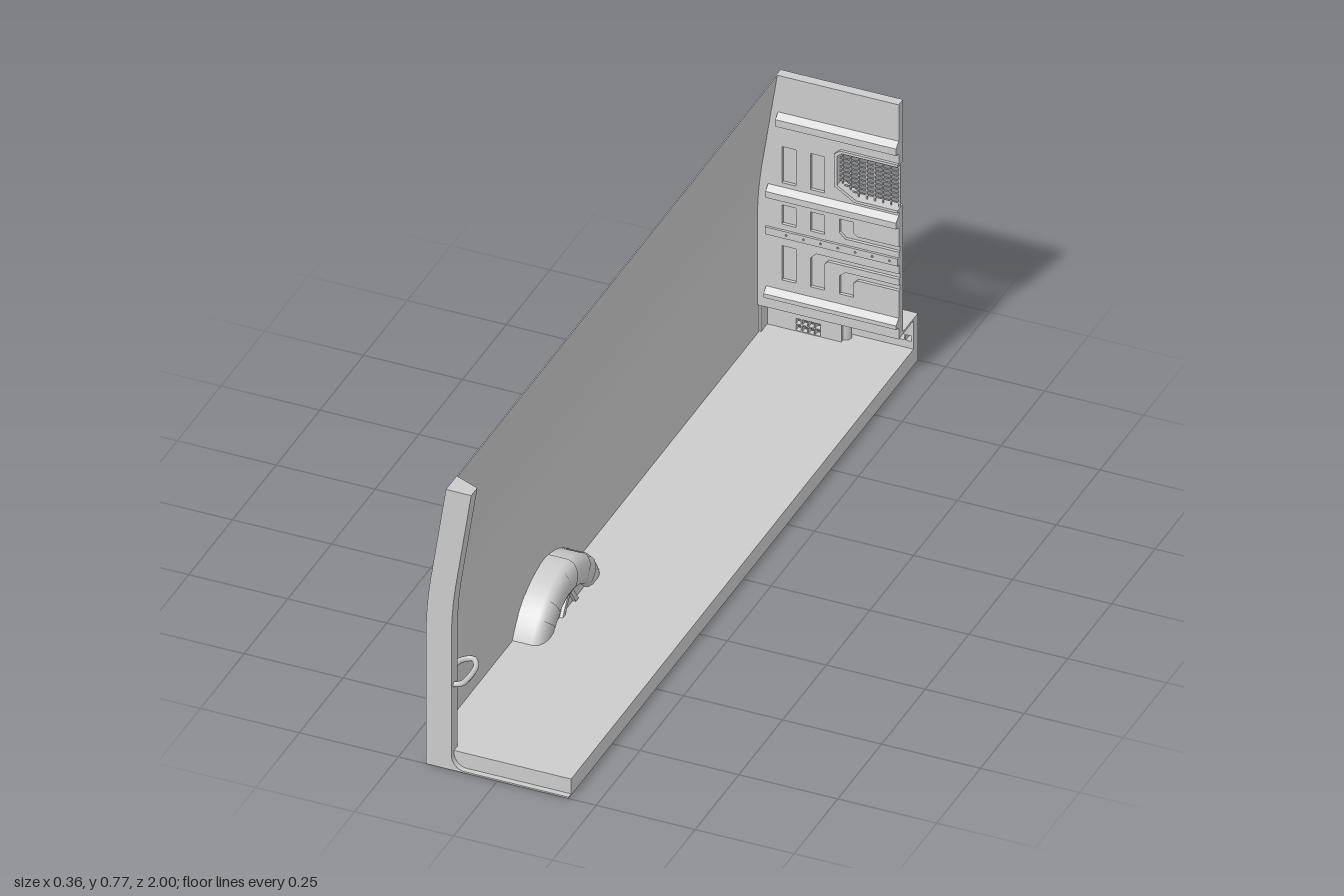
import * as THREE from 'three';

const mat = new THREE.MeshStandardMaterial({ color: 0xcccccc, side: THREE.DoubleSide });
const V2 = ([x, y]) => new THREE.Vector2(x, y);

// Curved side profile: upright below, leaning inwards above
const outerX = y => {
  const t = Math.max(0, y - 0.36);
  return -0.18 + 0.15 * (t < 0.16 ? t * t / 0.32 : t - 0.08);
};
const LEVELS = [0.36, 0.38, 0.4, 0.42, 0.44, 0.46, 0.48, 0.5, 0.52, 0.775];
const side = (y0, offset) => [y0, ...LEVELS].map(y => [outerX(y) + offset, y]);

const rect = (x0, y0, x1, y1) => [[x0, y0], [x1, y0], [x1, y1], [x0, y1]];
const dot = (x, y, r) => Array.from({ length: 10 }, (_, i) =>
  [x + r * Math.cos(i * Math.PI / 5), y + r * Math.sin(i * Math.PI / 5)]);

function slab(points, z0, z1, holes = []) {
  const shape = new THREE.Shape(points.map(V2));
  shape.holes = holes.map(h => new THREE.Path(h.map(V2)));
  return new THREE.ExtrudeGeometry(shape, { depth: z1 - z0, bevelEnabled: false }).translate(0, 0, z0);
}

export function createModel() {
  const model = new THREE.Group();
  const add = (name, geometry, parent = model) => {
    const mesh = new THREE.Mesh(geometry, mat);
    mesh.name = name;
    parent.add(mesh);
    return mesh;
  };
  const group = name => {
    const g = new THREE.Group();
    g.name = name;
    model.add(g);
    return g;
  };
  const box = (name, x0, x1, y0, y1, z0, z1, parent) => add(name,
    new THREE.BoxGeometry(x1 - x0, y1 - y0, z1 - z0)
      .translate((x0 + x1) / 2, (y0 + y1) / 2, (z0 + z1) / 2), parent);

  // Floor and the lid of the stepped foot box share one footprint
  const plate = (name, y0, y1, front, parent) => add(name, slab([
    [-0.18, -front], [0.18, -front], [0.18, 1], [-0.03, 1], [-0.03, 0.95], [-0.18, 0.95],
  ], y0, y1).rotateX(-Math.PI / 2), parent);
  plate('floor', 0, 0.045, 0.985);

  // Side wall
  add('sideWall', slab([...side(0.002, 0), ...side(0.002, 0.003).reverse()], -0.91, 0.985));

  // Rear door frame: face with rounded foot and sill lip, then a tapering pillar
  const frame = group('doorFrame');
  const foot = Array.from({ length: 9 }, (_, i) => {
    const a = Math.PI + i * Math.PI / 16;
    return [-0.083 + 0.033 * Math.cos(a), 0.04 + 0.036 * Math.sin(a)];
  });
  add('frameFace', slab([[-0.18, 0], ...side(0.04, 0), ...side(0.05, 0.064).reverse(),
    ...foot, [0.18, 0.004], [0.18, 0]], 0.985, 1), frame);
  const pillarOutline = [...side(0.03, 0), ...side(0.03, 0.064).reverse()];
  add('pillar', slab(pillarOutline, 0.965, 0.985), frame);
  const taper = slab(pillarOutline, 0.94, 0.965);
  const p = taper.attributes.position;
  for (let i = 0; i < p.count; i++) {
    const ox = outerX(p.getY(i));
    if (p.getZ(i) < 0.95 && p.getX(i) > ox + 0.03) p.setX(i, ox + 0.004);
  }
  taper.computeVertexNormals();
  add('pillarTaper', taper, frame);

  // Grab handle
  add('grabHandle', new THREE.TubeGeometry(new THREE.CatmullRomCurve3([
    [-0.15, 0.93], [-0.142, 0.885], [-0.12, 0.868], [-0.102, 0.89], [-0.096, 0.94], [-0.102, 0.975], [-0.12, 0.985],
  ].map(([x, z]) => new THREE.Vector3(x, 0.228, z))), 24, 0.007, 8));

  // Bulkhead: flat back sheet and a front sheet with pressed pockets
  const bulkhead = group('bulkhead');
  const windowCut = [[0.18, 0.485], [0.075, 0.485], [0.027, 0.515], [0.027, 0.595], [0.038, 0.605], [0.18, 0.605]];
  const channels = [
    [[0.18, 0.258], [0.075, 0.258], [0.065, 0.248], [0.065, 0.21], [0.03, 0.21], [0.03, 0.26], [0.045, 0.273], [0.18, 0.273]],
    [[0.18, 0.291], [0, 0.291], [-0.008, 0.282], [-0.008, 0.21], [-0.043, 0.21], [-0.043, 0.29], [-0.028, 0.305], [0.18, 0.305]],
    [[0.18, 0.366], [0.045, 0.366], [0.03, 0.38], [0.03, 0.418], [0.065, 0.418], [0.065, 0.388], [0.075, 0.38], [0.18, 0.38]],
  ];
  const pockets = [];
  for (const x of [-0.115, -0.043]) {
    for (const [y0, y1] of [[0.21, 0.305], [0.365, 0.418], [0.48, 0.58]]) {
      if (x < -0.1 || y0 > 0.3) pockets.push(rect(x, y0, x + 0.035, y1));
    }
  }
  const dots = Array.from({ length: 7 }, (_, i) => dot(-0.102 + i * 0.0435, 0.34, 0.0028));
  const sheet = cuts => [...side(0.13, 0).reverse(), [outerX(0.13), 0.13], [0.18, 0.13], ...cuts.flat(), [0.18, 0.775]];
  add('backSheet', slab(sheet([windowCut]), -0.915, -0.898, dots), bulkhead);
  add('frontSheet', slab(sheet([...channels, windowCut]), -0.898, -0.89, [...pockets, ...dots]), bulkhead);

  // Raised horizontal ribs
  for (const [y0, y1, x0] of [[0.638, 0.674, -0.125], [0.434, 0.468, -0.15], [0.155, 0.183, -0.155]]) {
    const rib = slab([[-0.89, y0], [-0.874, y0 + 0.005], [-0.874, y1 - 0.012], [-0.89, y1]], 0, 0.18 - x0);
    add('rib', rib.rotateY(Math.PI / 2).scale(1, 1, -1).rotateY(0), bulkhead);
    // Lay the profile along x by rule: extrusion depth becomes x
    const q = rib.attributes.position;
    for (let i = 0; i < q.count; i++) q.setXYZ(i, x0 + q.getX(i), q.getY(i), q.getZ(i));
    rib.computeVertexNormals();
  }
  add('tieRail', slab(rect(-0.155, 0.33, 0.18, 0.35), -0.89, -0.884, dots), bulkhead);

  // Window surround and mesh
  const lip = [[0.18, 0.478], [0.071, 0.478], [0.019, 0.511], [0.019, 0.599], [0.034, 0.612], [0.18, 0.612]];
  add('windowSurround', slab([...lip, ...[...windowCut].reverse()], -0.89, -0.883), bulkhead);
  const grille = group('windowMesh');
  for (let x = 0.032; x < 0.18; x += 0.0205) {
    const low = x < 0.075 ? 0.515 - (x - 0.027) * 0.625 : 0.485;
    box('meshUpright', x, x + 0.003, low, 0.605, -0.902, -0.899, grille);
  }
  for (let y = 0.495; y < 0.604; y += 0.0122) {
    const left = y < 0.515 ? 0.027 + (0.515 - y) * 1.6 : 0.027;
    box('meshBar', left, 0.18, y, y + 0.003, -0.902, -0.899, grille);
  }

  // Stepped foot box with vent slots
  const footBox = group('footBox');
  plate('footBoxLid', 0.124, 0.13, -0.89, footBox);
  const vents = (x, y, cols, rows, dx) => {
    const list = [];
    for (let r = 0; r < rows; r++) {
      for (let c = 0; c < cols; c++) list.push(rect(x + c * dx, y + r * 0.018, x + c * dx + dx - 0.003, y + r * 0.018 + 0.015));
    }
    return list;
  };
  add('sideBackWall', slab(rect(-0.18, 0.045, -0.005, 0.125), -0.95, -0.935, vents(-0.1, 0.047, 4, 2, 0.0163)), footBox);
  add('middleBackWall', slab(rect(-0.03, 0.045, 0.18, 0.125), -1, -0.975, vents(0.092, 0.065, 5, 1, 0.017)), footBox);
  box('boxStep', -0.03, 0.015, 0.045, 0.125, -0.976, -0.935, footBox);
  box('boxSide', -0.18, -0.172, 0.045, 0.125, -0.95, -0.9, footBox);
  add('stepCorner', new THREE.CylinderGeometry(0.015, 0.015, 0.08, 16).translate(0.015, 0.085, -0.96), footBox);

  // Wheel arch: rounded band swept round an axle along x
  const arch = group('wheelArch');
  arch.position.set(0, -0.038, 0.333);
  const sweep = (name, grow, mid, half) => {
    const profile = [[0.198, -0.179], [0.198, -0.128], [0.192, -0.114], [0.178, -0.105], [0.16, -0.102], [0.14, -0.103], [0.13, -0.107], [0.126, -0.118]]
      .map(([r, x]) => new THREE.Vector2(r + grow, x + grow));
    add(name, new THREE.LatheGeometry(profile, 32, 1.5 * Math.PI + mid - half, 2 * half).rotateZ(-Math.PI / 2), arch);
  };
  sweep('archBand', 0, 0, 1.134);
  for (const a of [-0.7, 0, 0.7]) sweep('archStrap', 0.002, a, 0.13);
  const inset = new THREE.Shape().absarc(0, 0, 0.128, Math.PI / 2 - 0.87, Math.PI / 2 + 0.87);
  add('archInset', new THREE.ShapeGeometry(inset, 24).rotateY(Math.PI / 2).translate(-0.117, 0, 0), arch);
  for (const s of [-1, 1]) {
    const spoke = add('archSpoke', new THREE.BoxGeometry(0.01, 0.09, 0.013), arch);
    spoke.position.set(-0.114, 0.095, s * 0.03);
    spoke.rotation.x = -s * 0.6;
  }
  return model;
}
